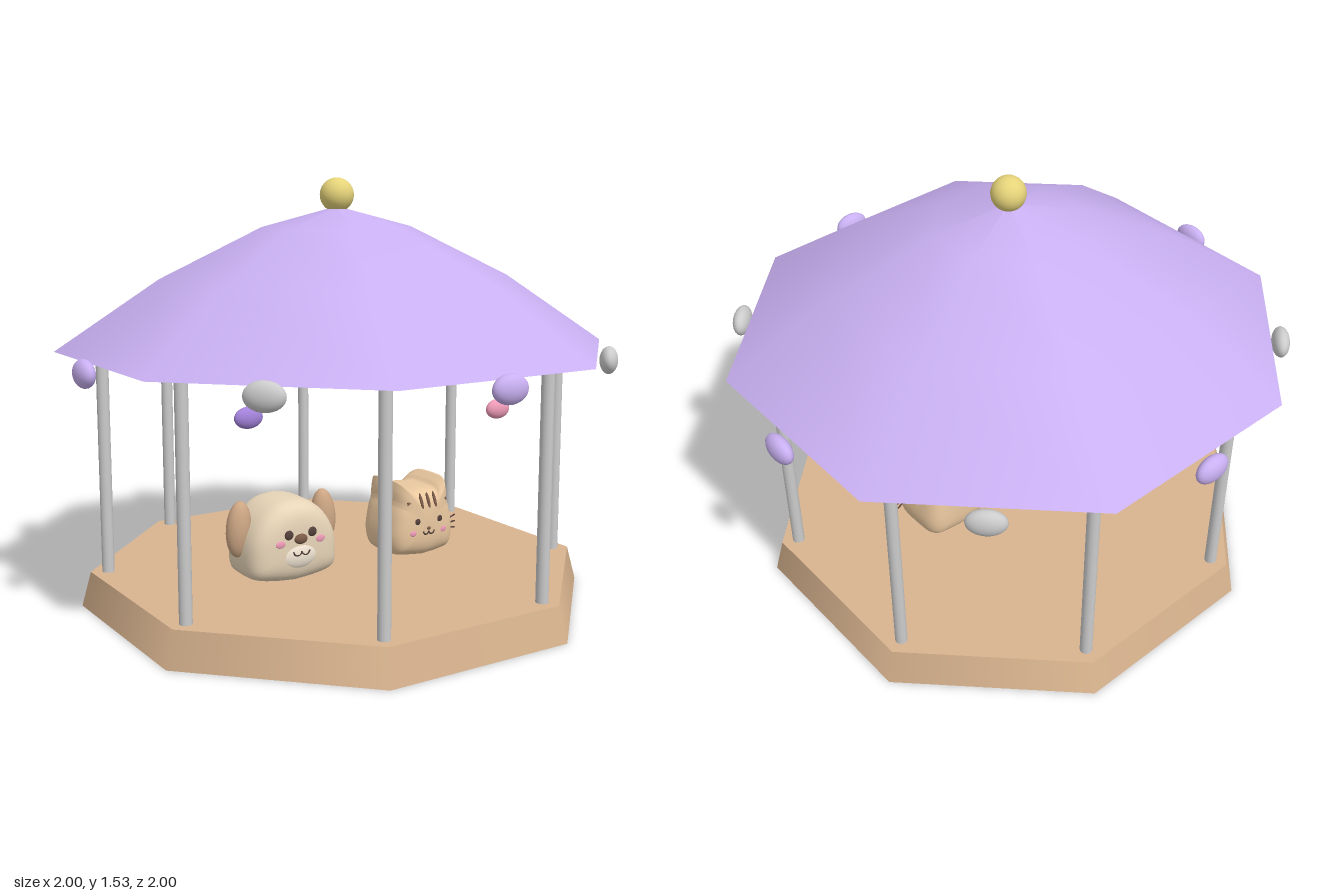
import * as THREE from 'three';

const mat = (color, side = THREE.FrontSide) => new THREE.MeshStandardMaterial({ color, side });
const GREY = mat(0xcccccc), LILAC = mat(0xc9b0f2), WOOD = mat(0xd9b48f), GOLD = mat(0xe6d47a);
const PURPLE = mat(0xa483dc), PINK = mat(0xf09cb8), DARK = mat(0x54403c), BROWN = mat(0x7a5a48);
const DOG = mat(0xe8d5b8), EAR = mat(0xcda684), CAT = mat(0xebc9a0), MUZZLE = mat(0xf2e6d4);

function add(parent, name, geometry, material, x = 0, y = 0, z = 0) {
  const mesh = new THREE.Mesh(geometry, material);
  mesh.name = name;
  mesh.position.set(x, y, z);
  parent.add(mesh);
  return mesh;
}

function ellipsoid(parent, name, material, [x, y, z], [rx, ry, rz]) {
  const mesh = add(parent, name, new THREE.SphereGeometry(1, 24, 16), material, x, y, z);
  mesh.scale.set(rx, ry, rz);
  return mesh;
}

// Thin round bar between two points
function rod(parent, name, material, from, to, r) {
  const a = new THREE.Vector3(...from), b = new THREE.Vector3(...to);
  const dir = b.clone().sub(a);
  const mesh = add(parent, name, new THREE.CylinderGeometry(r, r, dir.length(), 8), material);
  mesh.position.copy(a).add(b).multiplyScalar(0.5);
  mesh.quaternion.setFromUnitVectors(new THREE.Vector3(0, 1, 0), dir.normalize());
  return mesh;
}

// Pillow body: an outline (counter-clockwise) swept front to back, shrinking to rounded ends
const HALF = 0.132;
function pillow(outline) {
  const n = outline.length, rings = 20, pos = [], index = [];
  for (let i = 0; i <= rings; i++) {
    const phi = Math.PI * i / rings, c = Math.cos(phi);
    const s = Math.sqrt(Math.max(0, Math.sin(phi)));
    const z = HALF * Math.sign(c) * Math.sqrt(Math.abs(c));
    for (const p of outline) pos.push(p.x * s, p.y * s, z);
  }
  for (let i = 0; i < rings; i++) {
    for (let j = 0; j < n; j++) {
      const k = (j + 1) % n, a = i * n + j, b = i * n + k;
      index.push(a, a + n, b, b, a + n, b + n);
    }
  }
  const g = new THREE.BufferGeometry();
  g.setAttribute('position', new THREE.Float32BufferAttribute(pos, 3));
  g.setIndex(index);
  g.computeVertexNormals();
  return g;
}

// Mirrors a right-half profile (bottom to top) into a closed outline
function mirrored(half) {
  const left = half.filter(p => p.x > 0.001).reverse().map(p => new THREE.Vector2(-p.x, p.y));
  return [...half, ...left];
}
const spline = pts => new THREE.SplineCurve(pts.map(p => new THREE.Vector2(...p))).getPoints(20);

// Depth of the pillow front at a face position
const faceZ = (x, y, w, h) => HALF * Math.pow(Math.max(0.05, 1 - Math.hypot(x / w, y / h) ** 4), 0.25);

// Two small arcs side by side
function mouth(parent, y, z, r) {
  for (const s of [-1, 1]) {
    add(parent, 'mouth', new THREE.TorusGeometry(r, 0.003, 6, 12, Math.PI), DARK, s * r, y, z).rotation.z = Math.PI;
  }
}

function makeDog() {
  const dog = new THREE.Group();
  dog.name = 'dog';
  const half = spline([[0, -0.15], [0.1, -0.14], [0.165, -0.118], [0.176, -0.06], [0.166, 0.02],
    [0.125, 0.09], [0.065, 0.134], [0, 0.145]]);
  add(dog, 'dogBody', pillow(mirrored(half)), DOG);
  ellipsoid(dog, 'muzzle', MUZZLE, [0, -0.045, 0.115], [0.08, 0.05, 0.025]);
  ellipsoid(dog, 'nose', BROWN, [0, 0.016, 0.132], [0.026, 0.018, 0.014]);
  mouth(dog, -0.025, 0.138, 0.016);
  for (const s of [-1, 1]) {
    ellipsoid(dog, 'eye', DARK, [s * 0.047, 0.035, faceZ(0.047, 0.035, 0.17, 0.145)], [0.017, 0.017, 0.007]);
    ellipsoid(dog, 'cheek', PINK, [s * 0.08, 0.006, faceZ(0.08, 0.006, 0.17, 0.145)], [0.019, 0.013, 0.004]);
    ellipsoid(dog, 'dogEar', EAR, [s * 0.173, 0.045, 0], [0.046, 0.1, 0.04]).rotation.z = s * 0.08;
  }
  return dog;
}

function makeCat() {
  const cat = new THREE.Group();
  cat.name = 'cat';
  const half = [
    ...spline([[0, -0.147], [0.08, -0.138], [0.125, -0.122], [0.14, -0.06], [0.128, 0.02], [0.115, 0.06]]),
    ...spline([[0.113, 0.075], [0.111, 0.11], [0.104, 0.145]]),
    ...spline([[0.1, 0.144], [0.075, 0.125], [0.052, 0.108], [0, 0.112]]),
  ];
  add(cat, 'catBody', pillow(mirrored(half)), CAT);
  mouth(cat, -0.04, HALF, 0.012);
  ellipsoid(cat, 'catNose', BROWN, [0, -0.03, HALF], [0.008, 0.006, 0.005]);
  // Forehead stripes
  for (const x of [-0.03, 0, 0.03]) {
    ellipsoid(cat, 'stripe', BROWN, [x, 0.075, faceZ(x, 0.075, 0.13, 0.115)], [0.006, 0.03, 0.006]).rotation.x = -0.45;
  }
  for (const s of [-1, 1]) {
    ellipsoid(cat, 'eye', DARK, [s * 0.05, 0.0, faceZ(0.05, 0, 0.13, 0.13)], [0.011, 0.012, 0.005]);
    ellipsoid(cat, 'cheek', PINK, [s * 0.066, -0.043, faceZ(0.066, 0.043, 0.135, 0.14)], [0.016, 0.012, 0.004]);
    const inner = add(cat, 'innerEar', new THREE.ConeGeometry(0.018, 0.045, 12), BROWN, s * 0.08, 0.088, 0.108);
    inner.scale.z = 0.4;
    inner.rotation.set(-0.5, 0, -s * 0.35);
    for (const y of [-0.02, -0.045, -0.07]) {
      rod(cat, 'whisker', DARK, [s * 0.115, -0.045 + (y + 0.045) * 0.5, 0.075], [s * 0.175, y, 0.06], 0.003);
    }
  }
  return cat;
}

function makeNote(material) {
  const note = new THREE.Group();
  note.name = 'musicNote';
  ellipsoid(note, 'noteHead', material, [0, 0, 0], [0.052, 0.037, 0.025]);
  rod(note, 'noteStem', material, [0.046, 0, 0], [0.046, 0.135, 0], 0.004);
  add(note, 'noteFlag', new THREE.BoxGeometry(0.066, 0.008, 0.008), material, 0.077, 0.133, 0);
  return note;
}

export function createModel() {
  const model = new THREE.Group();
  model.name = 'carousel';

  // Octagonal platform
  add(model, 'platform', new THREE.CylinderGeometry(0.903, 0.937, 0.125, 8, 1, false, Math.PI / 8), WOOD, 0, 0.0625, 0);

  // Open octagonal canopy
  const profile = [[1.004, 0.93], [0.635, 1.178], [0.27, 1.358], [0, 1.43]].map(p => new THREE.Vector2(...p));
  add(model, 'canopy', new THREE.LatheGeometry(profile, 8, Math.PI / 8), mat(0xc9b0f2, THREE.DoubleSide));
  add(model, 'finial', new THREE.SphereGeometry(0.061, 24, 16), GOLD, 0, 1.47, 0);

  // Pillars at the corners, lamps at the middle of each eave
  for (let i = 0; i < 8; i++) {
    const t = i * Math.PI / 4, c = t + Math.PI / 8;
    add(model, 'pillar', new THREE.CylinderGeometry(0.022, 0.022, 0.83, 16), GREY,
      Math.sin(c) * 0.84, 0.535, Math.cos(c) * 0.84);
    ellipsoid(model, 'lamp', i % 2 ? GREY : LILAC,
      [Math.sin(t) * 0.966, 0.906, Math.cos(t) * 0.966], [0.067, 0.048, 0.032]).rotation.y = t;
  }

  const dog = makeDog();
  dog.position.set(-0.275, 0.28, 0.068);
  const cat = makeCat();
  cat.position.set(0.277, 0.28, 0.068);
  const noteA = makeNote(PURPLE), noteB = makeNote(PINK);
  noteA.position.set(-0.502, 0.755, 0.25);
  noteB.position.set(0.552, 0.68, 0.25);
  model.add(dog, cat, noteA, noteB);
  return model;
}
